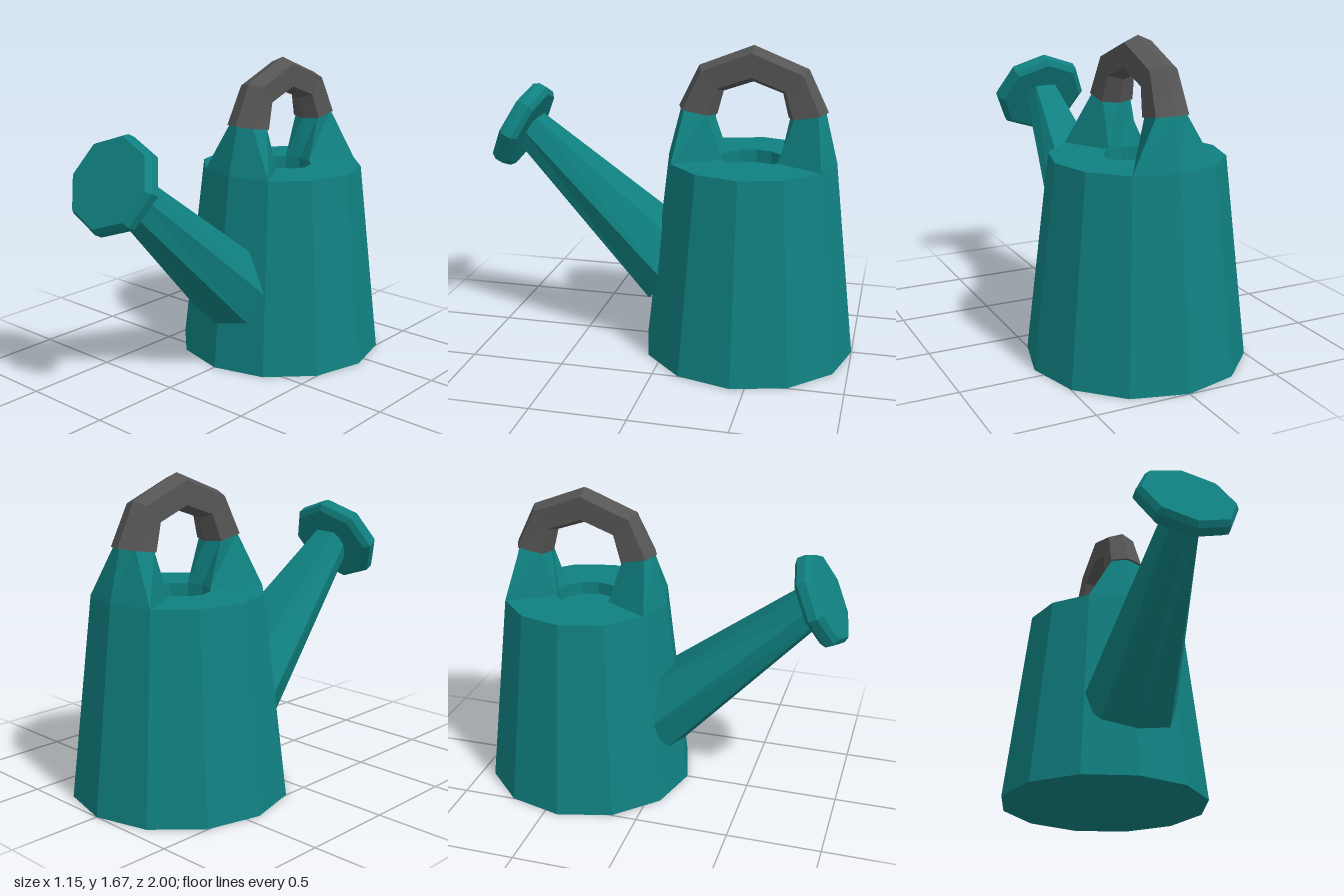
import * as THREE from 'three';

const mat = (color) => new THREE.MeshStandardMaterial({ color, flatShading: true });
const teal = mat(0x108080);
const grey = mat(0x555555);
const rad = THREE.MathUtils.degToRad;

// Skin matching rings of Vector3 (counterclockwise seen from the far end) and cap both ends
function loft(rings) {
  const n = rings[0].length, pos = [];
  const tri = (...pts) => pts.forEach((p) => pos.push(p.x, p.y, p.z));
  for (let r = 0; r < rings.length - 1; r++) {
    const a = rings[r], b = rings[r + 1];
    for (let i = 0; i < n; i++) {
      const j = (i + 1) % n;
      tri(a[i], a[j], b[j]);
      tri(a[i], b[j], b[i]);
    }
  }
  const first = rings[0], last = rings[rings.length - 1];
  for (let i = 1; i < n - 1; i++) {
    tri(first[0], first[i + 1], first[i]);
    tri(last[0], last[i], last[i + 1]);
  }
  const g = new THREE.BufferGeometry();
  g.setAttribute('position', new THREE.Float32BufferAttribute(pos, 3));
  g.computeVertexNormals();
  return g;
}

// Ring in a plane containing x, with its second axis in the yz plane at the given angle from +z
function ring(shape, y, z, angle, w, h) {
  const c = Math.cos(rad(angle)), s = Math.sin(rad(angle));
  return shape.map(([u, v]) => new THREE.Vector3(u * w, y + v * h * s, z + v * h * c));
}

function add(parent, name, geometry, material) {
  const m = new THREE.Mesh(geometry, material);
  m.name = name;
  parent.add(m);
  return m;
}

export function createModel() {
  const model = new THREE.Group();
  model.name = 'wateringCan';

  // Tapered tank with a shallow filling well
  const tank = new THREE.Group();
  tank.name = 'tank';
  tank.position.z = -0.425;
  model.add(tank);
  const profile = [[0, 0], [0.575, 0], [0.45, 1.07], [0.17, 1.07], [0.17, 1.0], [0, 1.0]]
    .map(([x, y]) => new THREE.Vector2(x, y));
  add(tank, 'body', new THREE.LatheGeometry(profile, 12), teal);

  // Pointed hexagonal handle section
  const hex = [[0, 1], [1, 0.66], [1, -0.66], [0, -1], [-1, -0.66], [-1, 0.66]];

  // Brackets rising from the top, front and back
  const foot = [[0, 0.45], [0.225, 0.39], [0.085, 0.147], [0, 0.17], [-0.085, 0.147], [-0.225, 0.39]]
    .map(([x, z]) => new THREE.Vector3(x, 1.07, z));
  const bracket = loft([foot, ring(hex, 1.325, 0.29, 10, 0.08, 0.092)]);
  add(tank, 'frontBracket', bracket, teal);
  add(tank, 'backBracket', bracket, teal).rotation.y = Math.PI;

  // Arched handle
  const stations = [
    [1.317, 0.292, 10, 0.09, 0.105],
    [1.49, 0.222, 45, 0.075, 0.093],
    [1.575, 0, 90, 0.075, 0.095],
    [1.49, -0.222, 135, 0.075, 0.093],
    [1.317, -0.292, 170, 0.09, 0.105],
  ];
  add(tank, 'handle', loft(stations.map((s) => ring(hex, ...s))), grey);

  // Tapered spout, flat on top and keeled below
  const keel = [[0, -1], [0.72, -0.72], [1, 0.1], [0.65, 1], [-0.65, 1], [-1, 0.1], [-0.72, -0.72]];
  add(model, 'spout', loft([
    ring(keel, 0.403, -0.003, 132.5, 0.265, 0.2),
    ring(keel, 1.16, 0.822, 132.5, 0.095, 0.102),
  ]), teal);

  // Bevelled sprinkler head
  const head = [[0, -0.05], [0.225, -0.05], [0.255, -0.025], [0.255, 0.02], [0.235, 0.05], [0, 0.05]]
    .map(([x, y]) => new THREE.Vector2(x, y));
  const rose = add(model, 'sprinklerHead', new THREE.LatheGeometry(head, 8), teal);
  rose.position.set(0, 1.18, 0.85);
  rose.rotation.x = rad(63);
  rose.scale.x = 1.07;

  return model;
}
